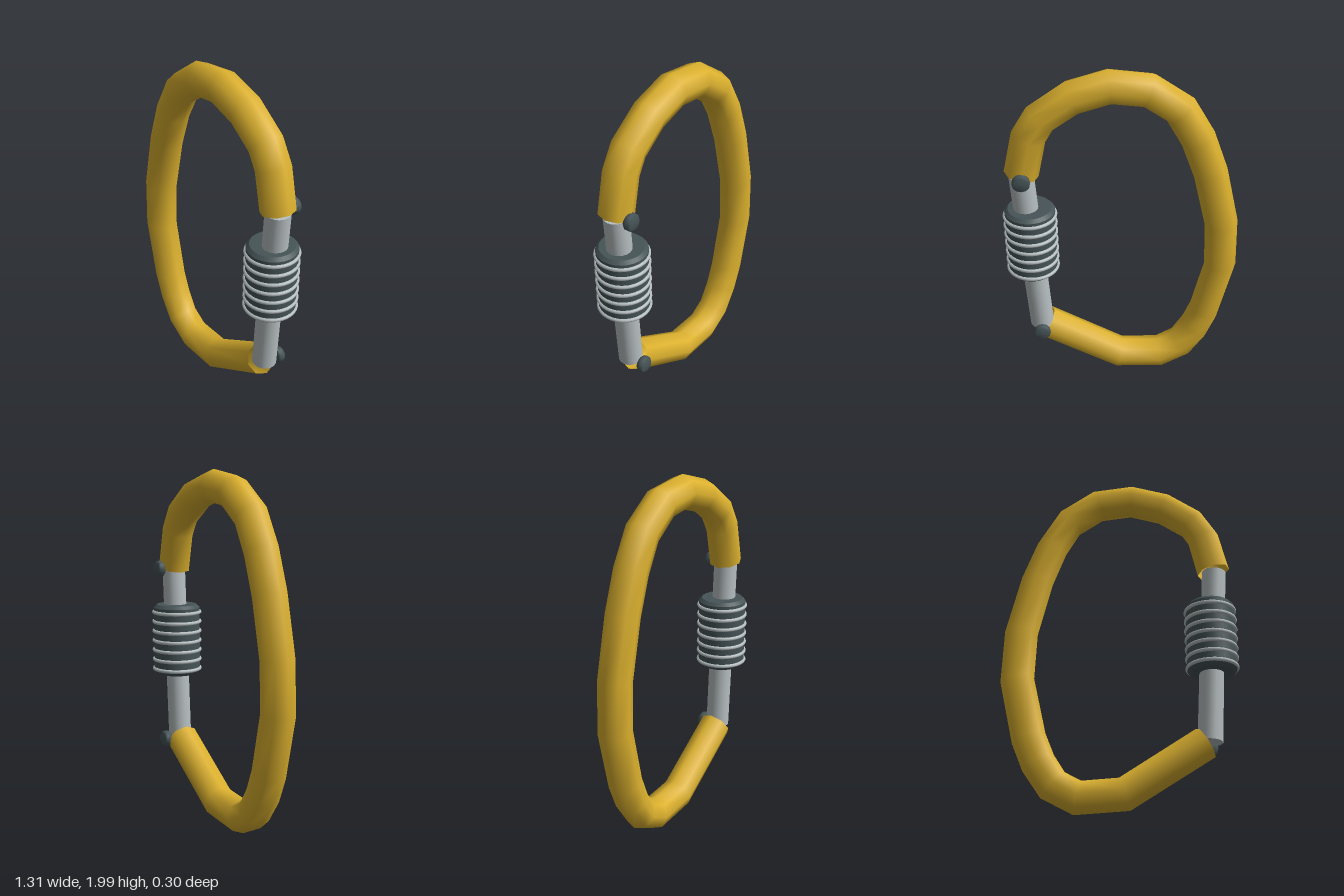
import * as THREE from 'three';

export function createModel() {
  const yellow = new THREE.MeshStandardMaterial({ color: 0xdcb12e, side: THREE.DoubleSide });
  yellow.name = 'yellow body';
  const silver = new THREE.MeshStandardMaterial({ color: 0xb6bec0 });
  silver.name = 'silver metal';
  const dark = new THREE.MeshStandardMaterial({ color: 0x465457 });
  dark.name = 'dark slate';

  const model = new THREE.Group();
  model.name = 'carabiner';
  const add = (name, geometry, material, x = 0, y = 0, z = 0) => {
    const mesh = new THREE.Mesh(geometry, material);
    mesh.name = name;
    mesh.position.set(x, y, z);
    model.add(mesh);
    return mesh;
  };

  // Body: open-ended eight-sided tube with one ring at each path point
  const path = [
    [0.535, 1.42], [0.485, 1.64], [0.42, 1.745], [0.255, 1.855], [0.065, 1.907],
    [-0.135, 1.878], [-0.302, 1.76], [-0.402, 1.585], [-0.48, 1.37], [-0.557, 1.04],
    [-0.567, 0.755], [-0.49, 0.42], [-0.435, 0.285], [-0.355, 0.165], [-0.225, 0.097],
    [0.02, 0.115], [0.45, 0.39],
  ];
  const curve = new THREE.CatmullRomCurve3(path.map(([x, y]) => new THREE.Vector3(x, y, 0)));
  curve.getPointAt = curve.getPoint;
  curve.getTangentAt = curve.getTangent;
  add('body', new THREE.TubeGeometry(curve, path.length - 1, 0.093, 8, false), yellow);

  // Gate: slightly leaning rod that closes the opening
  const low = new THREE.Vector2(0.475, 0.393), high = new THREE.Vector2(0.537, 1.415);
  const gate = add('gate', new THREE.CylinderGeometry(0.068, 0.068, low.distanceTo(high), 20), silver,
    (low.x + high.x) / 2, (low.y + high.y) / 2);
  gate.rotation.z = -Math.atan2(high.x - low.x, high.y - low.y);

  // Locking sleeve with chamfered ends; repeated points keep the edges sharp
  const sleeveProfile = [
    [0, -0.21], [0.12, -0.21], [0.12, -0.21], [0.138, -0.192], [0.138, -0.192],
    [0.138, 0.192], [0.138, 0.192], [0.12, 0.21], [0.12, 0.21], [0, 0.21],
  ].map(([r, y]) => new THREE.Vector2(r, y));
  add('sleeve', new THREE.LatheGeometry(sleeveProfile, 28), dark, 0.504, 0.996);

  // Grip rings around the sleeve
  const ringGeometry = new THREE.TorusGeometry(0.138, 0.011, 8, 32).rotateX(Math.PI / 2);
  for (let i = -3; i <= 3; i++) {
    add('gripRing', ringGeometry, silver, 0.504, 0.988 + i * 0.0573);
  }

  // Rivets on the back of both gate ends
  const rivetProfile = [
    [0, 0], [0.038, 0], [0.048, 0.012], [0.048, 0.034], [0.038, 0.046], [0, 0.048],
  ].map(([r, y]) => new THREE.Vector2(r, y));
  const rivetGeometry = new THREE.LatheGeometry(rivetProfile, 12).rotateX(-Math.PI / 2);
  add('upperRivet', rivetGeometry, dark, 0.537, 1.42, -0.073);
  add('lowerRivet', rivetGeometry, dark, 0.477, 0.39, -0.073);

  return model;
}
